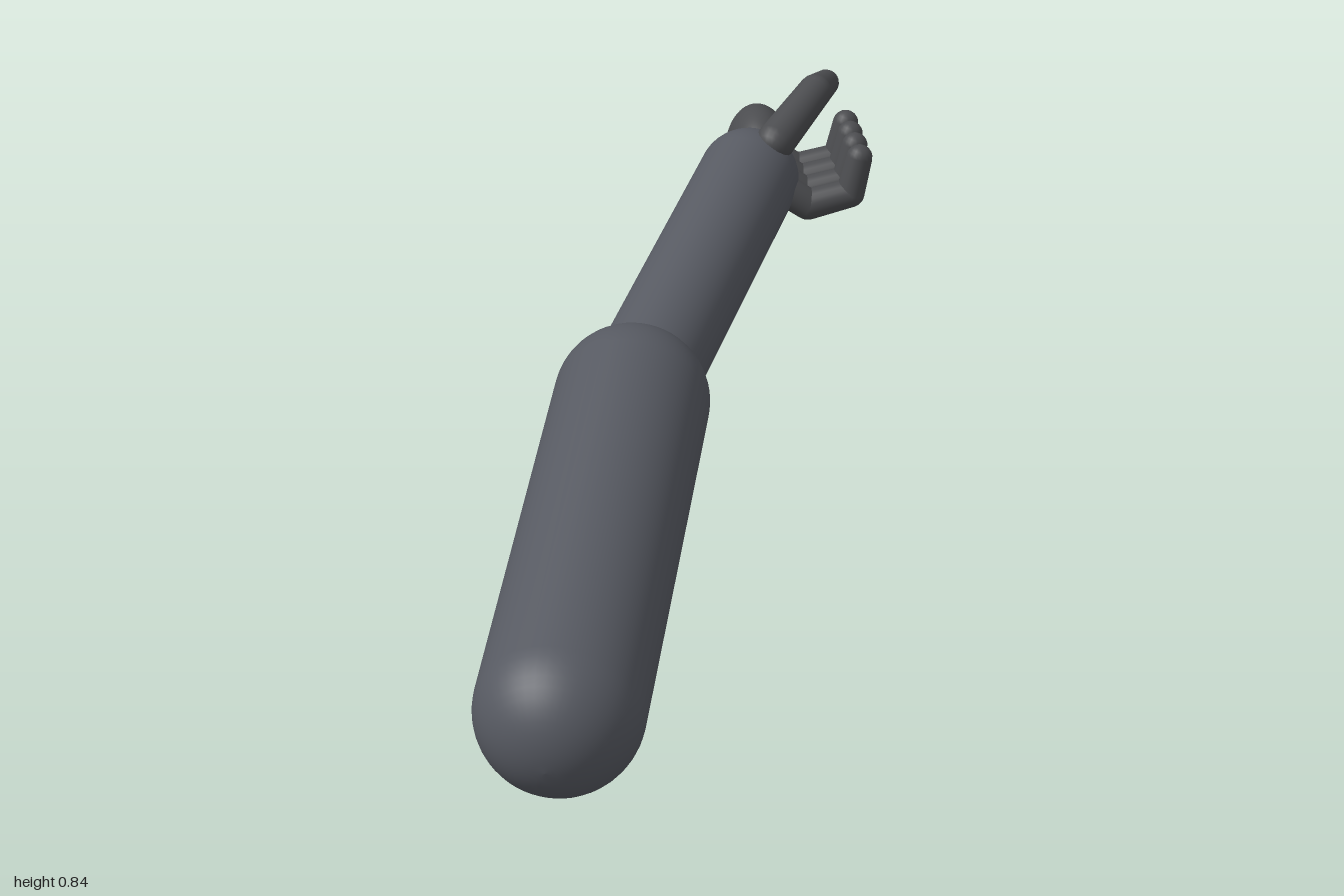
import * as THREE from 'three';

const sleeveMat = new THREE.MeshStandardMaterial({ color: 0x565961 });
const handMat = new THREE.MeshStandardMaterial({ color: 0x4b4c4f });

// Round-ended limb between two points, tapering from radius r0 to r1
function limb(name, from, to, r0, r1, mat, sides = 32) {
  const a = new THREE.Vector3(...from);
  const dir = new THREE.Vector3(...to).sub(a);
  const len = dir.length();
  const steps = sides / 4;
  const tilt = Math.asin((r0 - r1) / len); // keeps the side tangent to both end balls
  const profile = [];
  for (let i = 0; i <= steps; i++) {
    const t = -Math.PI / 2 + (Math.PI / 2 + tilt) * i / steps;
    profile.push(new THREE.Vector2(Math.max(0, r0 * Math.cos(t)), r0 * Math.sin(t)));
  }
  for (let i = 0; i <= steps; i++) {
    const t = tilt + (Math.PI / 2 - tilt) * i / steps;
    profile.push(new THREE.Vector2(Math.max(0, r1 * Math.cos(t)), len + r1 * Math.sin(t)));
  }
  const mesh = new THREE.Mesh(new THREE.LatheGeometry(profile, sides), mat);
  mesh.name = name;
  mesh.position.copy(a);
  mesh.quaternion.setFromUnitVectors(new THREE.Vector3(0, 1, 0), dir.normalize());
  return mesh;
}

// Chain of limbs through a list of joints, each [x, y, z, radius]
function digit(name, joints) {
  const group = new THREE.Group();
  group.name = name;
  for (let i = 1; i < joints.length; i++) {
    const p = joints[i - 1], q = joints[i];
    group.add(limb(name + 'Segment' + i, p.slice(0, 3), q.slice(0, 3), p[3], q[3], handMat, 20));
  }
  return group;
}

export function createModel() {
  const arm = new THREE.Group();
  arm.name = 'arm';

  // Arm
  const elbow = [-0.12, 0.405, -0.025];
  arm.add(limb('upperArm', [-0.315, 0.165, 0.835], elbow, 0.165, 0.165, sleeveMat, 48));
  arm.add(limb('forearm', elbow, [0.195, 0.64, -0.715], 0.115, 0.115, sleeveMat, 48));

  // Hand
  const hand = new THREE.Group();
  hand.name = 'hand';
  const palm = new THREE.Mesh(new THREE.SphereGeometry(1, 40, 28), handMat);
  palm.name = 'palm';
  palm.scale.set(0.077, 0.115, 0.14);
  palm.position.set(0.233, 0.645, -0.86);
  hand.add(palm);

  // Curled fingers
  [-0.69, -0.772, -0.852, -0.93].forEach((z, i) => {
    hand.add(digit('finger' + (i + 1), [
      [0.265, 0.625, z, 0.036],
      [0.33, 0.582, z, 0.036],
      [0.427, 0.606, z, 0.033],
      [0.446, 0.692, z, 0.03],
    ]));
  });

  // Thumb reaching over the fingers
  hand.add(digit('thumb', [
    [0.255, 0.73, -0.705, 0.045],
    [0.362, 0.801, -0.845, 0.039],
    [0.4, 0.785, -0.95, 0.031],
  ]));
  arm.add(hand);
  return arm;
}
